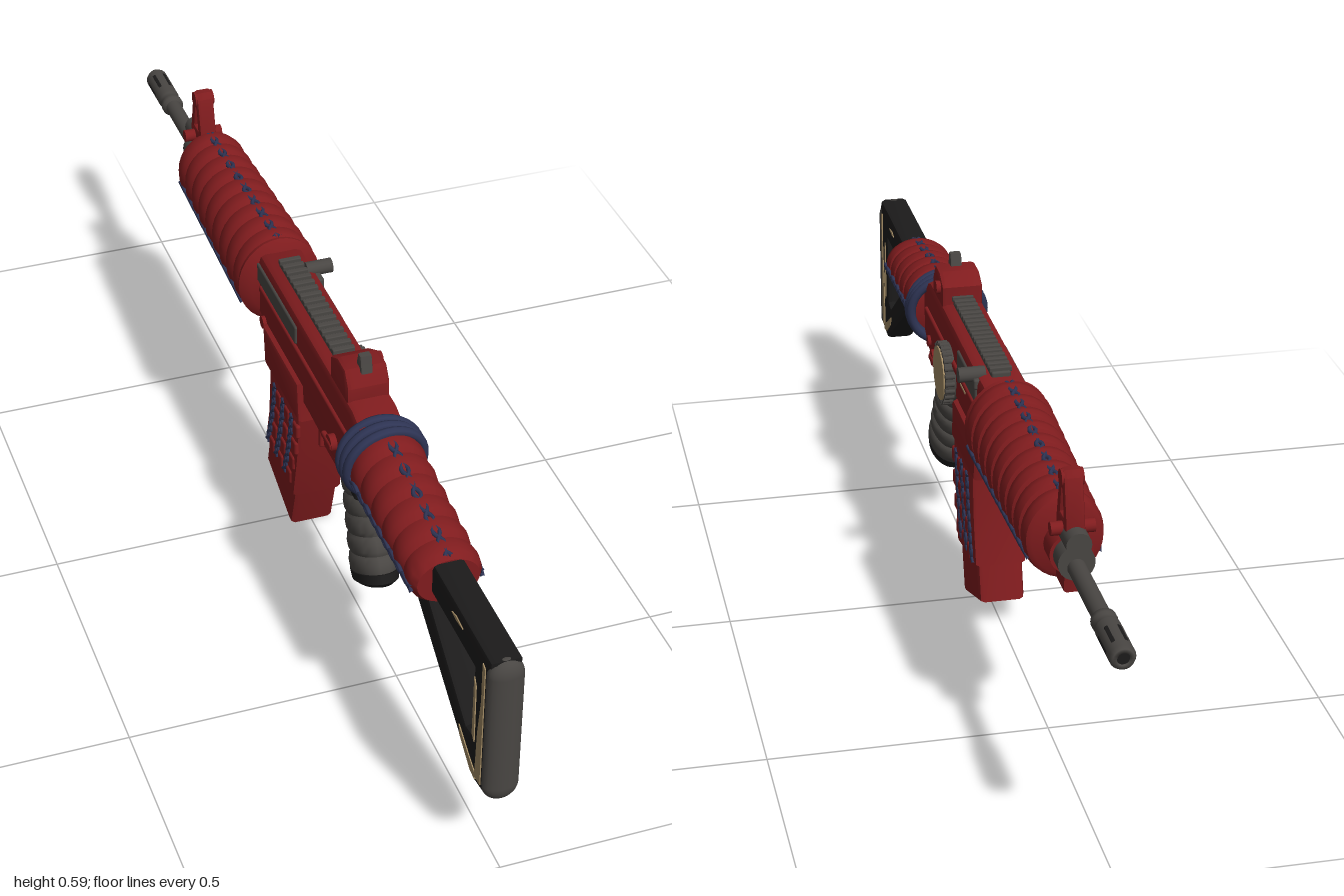
import * as THREE from 'three';
import { toCreasedNormals } from 'three/addons/utils/BufferGeometryUtils.js';
import { RoundedBoxGeometry } from 'three/addons/geometries/RoundedBoxGeometry.js';

const paint = (name, color) => Object.assign(new THREE.MeshStandardMaterial({ color }), { name });

export function createModel() {
  const model = new THREE.Group();
  const red = paint('red', 0x801c1e), blue = paint('navy cord', 0x2e3454), grey = paint('gunmetal', 0x494643);
  const black = paint('black', 0x1c1b1b), tan = paint('tan', 0xa08963);

  const add = (name, geo, mat, x = 0, y = 0, z = 0, parent = model) => {
    const m = new THREE.Mesh(geo, mat);
    m.name = name;
    m.position.set(x, y, z);
    parent.add(m);
    return m;
  };
  const box = (name, mat, w, h, d, x, y, z, r = 0.004) =>
    add(name, new RoundedBoxGeometry(w, h, d, 2, r), mat, x, y, z);
  // cylinder along z, or along x
  const rodZ = (name, mat, r, z0, z1, y) =>
    add(name, new THREE.CylinderGeometry(r, r, Math.abs(z1 - z0), 20).rotateX(Math.PI / 2), mat, 0, y, (z0 + z1) / 2);
  const rodX = (name, mat, r, len, x, y, z, seg = 16) =>
    add(name, new THREE.CylinderGeometry(r, r, len, seg).rotateZ(Math.PI / 2), mat, x, y, z);

  // side outline given as [z, y] points, extruded across x
  const vec = (pts) => pts.map(([z, y]) => new THREE.Vector2(z, y));
  const plate = (name, mat, pts, width, bevel = 0.006, holes = [], x = 0) => {
    const shape = new THREE.Shape(vec(pts));
    holes.forEach((h) => shape.holes.push(new THREE.Path(vec(h))));
    const depth = width - 2 * bevel;
    const g = new THREE.ExtrudeGeometry(shape, {
      depth, bevelEnabled: bevel > 0, bevelSize: bevel, bevelThickness: bevel, bevelOffset: -bevel, bevelSegments: 2,
    }).translate(0, 0, -depth / 2).rotateY(-Math.PI / 2);
    return add(name, toCreasedNormals(g, 0.6), mat, x);
  };

  // closed loft through elliptical sections { z, y, rx, ry }, z rising
  const loft = (sections, seg = 32) => {
    const pos = [], idx = [], n = sections.length;
    for (const s of sections)
      for (let j = 0; j < seg; j++) {
        const a = (j / seg) * Math.PI * 2;
        pos.push(Math.cos(a) * s.rx, s.y + Math.sin(a) * s.ry, s.z);
      }
    for (let i = 0; i < n - 1; i++)
      for (let j = 0; j < seg; j++) {
        const a = i * seg + j, b = i * seg + ((j + 1) % seg);
        idx.push(a, b, b + seg, a, b + seg, a + seg);
      }
    [0, n - 1].forEach((i, end) => {
      const c = pos.length / 3;
      pos.push(0, sections[i].y, sections[i].z);
      for (let j = 0; j < seg; j++) {
        const a = i * seg + j, b = i * seg + ((j + 1) % seg);
        end ? idx.push(c, a, b) : idx.push(c, b, a);
      }
    });
    const g = new THREE.BufferGeometry();
    g.setAttribute('position', new THREE.Float32BufferAttribute(pos, 3));
    g.setIndex(idx);
    g.computeVertexNormals();
    return toCreasedNormals(g, 0.7);
  };

  // overlapping cloth bands between two end sections
  const mix = (a, b, t) => ({
    z: a.z + (b.z - a.z) * t, y: a.y + (b.y - a.y) * t, rx: a.rx + (b.rx - a.rx) * t, ry: a.ry + (b.ry - a.ry) * t,
  });
  const bands = (a, b, n, dip) => {
    const out = [];
    for (let i = 0; i < n; i++)
      for (const [u, k] of [[0, 1], [0.1, 0.3], [0.4, 0], [0.75, 0.2], [0.97, 0.85]]) {
        const s = mix(a, b, (i + u) / n);
        out.push({ ...s, rx: s.rx - dip * k, ry: s.ry - dip * k });
      }
    return loft(out);
  };
  const cord = (name, pts, r = 0.004) =>
    add(name, new THREE.TubeGeometry(new THREE.CatmullRomCurve3(pts), pts.length * 4, r, 6), blue);
  // crossed lacing that follows a sleeve at one angle, sunk slightly into the cloth
  const lace = (name, a, b, angle, spread, n, sink = 0.001) => {
    for (const side of [1, -1]) {
      const pts = [];
      for (let i = 0; i <= n; i++) {
        const s = mix(a, b, 0.02 + 0.96 * (i / n)), w = angle + spread * side * (i % 2 ? 1 : -1);
        pts.push(new THREE.Vector3(Math.cos(w) * (s.rx - sink), s.y + Math.sin(w) * (s.ry - sink), s.z));
      }
      cord(name, pts);
    }
  };

  // skeleton stock with rounded butt pad and worn edges
  plate('stockFrame', black, [[0.985, 0.16], [0.985, 0.45], [0.69, 0.45], [0.62, 0.36], [0.66, 0.325], [0.93, 0.15]], 0.058, 0.01,
    [[[0.915, 0.385], [0.73, 0.385], [0.71, 0.36], [0.89, 0.235], [0.915, 0.24]]]);
  add('buttPad', new THREE.CapsuleGeometry(0.032, 0.238, 8, 20).scale(1, 1, 0.6), grey, 0, 0.3, 0.98);
  for (const s of [1, -1]) {
    const wear = (pts) => plate('wornEdge', tan, pts, 0.003, 0, [], s * 0.0295);
    wear([[0.968, 0.172], [0.968, 0.425], [0.957, 0.43], [0.958, 0.35], [0.948, 0.27], [0.944, 0.172]]);
    wear([[0.936, 0.24], [0.934, 0.36], [0.926, 0.375], [0.926, 0.25]]);
    wear([[0.946, 0.165], [0.946, 0.178], [0.915, 0.194], [0.87, 0.222], [0.875, 0.203], [0.925, 0.168]]);
    wear([[0.87, 0.428], [0.84, 0.432], [0.82, 0.427], [0.84, 0.424]]);
  }
  // wrapped stock sleeve
  const s0 = { z: 0.42, y: 0.43, rx: 0.07, ry: 0.073 }, s1 = { z: 0.73, y: 0.41, rx: 0.066, ry: 0.053 };
  add('stockWrap', bands(s0, s1, 6, 0.012), red);
  [-0.15, Math.PI + 0.15].forEach((a) => lace('stockLace', s0, s1, a, 0.1, 10));
  lace('stockTopLace', s0, s1, Math.PI / 2, 0.1, 10, 0.005);
  add('underWrap', bands({ z: 0.46, y: 0.37, rx: 0.04, ry: 0.024 }, { z: 0.66, y: 0.365, rx: 0.038, ry: 0.026 }, 4, 0.005), grey);
  for (let i = 0; i < 3; i++) {
    const ring = add('cordBand', new THREE.TorusGeometry(0.072, 0.0095, 8, 36), blue, 0, 0.433, 0.395 + i * 0.014);
    ring.scale.y = 0.95;
    ring.rotation.set(0.09 * (i - 1), 0.06 * (i - 1), 0);
  }

  // receiver
  plate('upperReceiver', red, [[0.42, 0.37], [0.42, 0.49], [0.36, 0.51], [-0.15, 0.51], [-0.17, 0.5], [-0.17, 0.37]], 0.086, 0.014);
  plate('lowerReceiver', red, [[0.42, 0.36], [0.42, 0.42], [-0.15, 0.42], [-0.15, 0.365], [-0.09, 0.335], [0.12, 0.335], [0.25, 0.33]], 0.078);
  plate('magazineWell', red, [[0.1, 0.3], [0.09, 0.38], [-0.11, 0.38], [-0.1, 0.3]], 0.104, 0.008);
  box('sideRib', red, 0.098, 0.014, 0.52, 0, 0.445, 0.12);
  box('wornRib', tan, 0.004, 0.005, 0.045, 0.0485, 0.443, 0, 0.001);
  plate('triggerGuard', red, [[0.25, 0.34], [0.245, 0.267], [0.14, 0.267], [0.115, 0.34]], 0.03, 0.003,
    [[[0.235, 0.336], [0.233, 0.279], [0.147, 0.279], [0.127, 0.336]]]);
  plate('trigger', grey, [[0.2, 0.34], [0.215, 0.3], [0.195, 0.283], [0.205, 0.3], [0.18, 0.34]], 0.016, 0);
  box('magazineCatch', red, 0.03, 0.06, 0.012, 0, 0.275, 0.112);
  for (const s of [1, -1]) {
    rodX('selectorHub', red, 0.016, 0.02, s * 0.045, 0.385, 0.28);
    box('selectorLever', red, 0.01, 0.012, 0.05, s * 0.053, 0.383, 0.27);
    rodX('receiverPin', red, 0.012, 0.016, s * 0.042, 0.38, -0.12);
    rodX('rearPin', red, 0.011, 0.016, s * 0.041, 0.39, 0.35);
  }
  // bolt, port and handle
  box('ejectionPort', grey, 0.012, 0.036, 0.165, 0.0415, 0.474, -0.015);
  box('boltCover', grey, 0.012, 0.038, 0.23, -0.0415, 0.474, -0.045);
  rodX('boltHandle', grey, 0.014, 0.05, 0.05, 0.508, -0.082);
  box('boltCarrier', grey, 0.05, 0.02, 0.06, 0.025, 0.495, -0.075);
  // round medallion with a notched rim
  rodX('medallionRim', grey, 0.058, 0.022, 0.052, 0.41, 0.15, 40);
  rodX('medallionFace', tan, 0.052, 0.004, 0.064, 0.41, 0.15, 40);
  for (let i = 0; i < 24; i++) {
    const a = (i / 24) * Math.PI * 2;
    rodX('medallionBead', grey, 0.005, 0.018, 0.055, 0.41 + Math.sin(a) * 0.057, 0.15 + Math.cos(a) * 0.057, 8);
  }

  // top rail and rear sight
  box('railBase', grey, 0.036, 0.016, 0.36, 0, 0.512, 0.07);
  for (let i = 0; i < 18; i++) box('railTooth', grey, 0.042, 0.01, 0.011, 0, 0.522, -0.1 + i * 0.02, 0.002);
  plate('rearSightBase', red, [[0.335, 0.5], [0.335, 0.535], [0.315, 0.565], [0.275, 0.565], [0.24, 0.545], [0.24, 0.5]], 0.08, 0.008);
  rodX('sightDrum', red, 0.013, 0.012, 0.042, 0.538, 0.265);
  plate('rearSightPost', grey, [[0.325, 0.555], [0.318, 0.588], [0.305, 0.588], [0.295, 0.555]], 0.022, 0.003);

  // wrapped pistol grip
  box('gripNeck', black, 0.064, 0.05, 0.11, 0, 0.328, 0.305, 0.008);
  const grip = new THREE.Group();
  grip.name = 'grip';
  grip.position.set(0, 0.325, 0.302);
  grip.rotation.x = Math.PI / 2 - 0.43;
  model.add(grip);
  add('gripWrap', bands({ z: 0, y: 0, rx: 0.037, ry: 0.052 }, { z: 0.185, y: 0, rx: 0.043, ry: 0.064 }, 5, 0.006), grey, 0, 0, 0, grip);
  add('gripCap', loft([{ z: 0.18, y: 0, rx: 0.042, ry: 0.065 }, { z: 0.198, y: 0, rx: 0.04, ry: 0.063 },
    { z: 0.206, y: 0, rx: 0.03, ry: 0.052 }]), black, 0, 0, 0, grip);

  // curved magazine with laced cloth
  plate('magazineBase', red, [[0.085, 0.32], [0.075, 0.2], [0.052, 0.09], [0.026, 0.002], [-0.122, 0.055], [-0.105, 0.12],
    [-0.082, 0.2], [-0.07, 0.32]], 0.086, 0.01);
  plate('magazineWrap', red, [[0.092, 0.31], [0.082, 0.2], [0.058, 0.095], [-0.108, 0.125], [-0.088, 0.2], [-0.077, 0.31]], 0.098, 0.008);
  const magZ = (y) => 0.012 - 0.9 * (0.31 - y) ** 2 - 0.1 * (0.31 - y);
  for (const s of [1, -1])
    for (const col of [-0.05, 0, 0.05]) {
      for (const flip of [1, -1]) {
        const pts = [];
        for (let i = 0; i <= 8; i++) {
          const y = 0.29 - i * 0.0205;
          pts.push(new THREE.Vector3(s * 0.05, y, magZ(y) + col + flip * (i % 2 ? 0.007 : -0.007)));
        }
        cord('magazineLace', pts, 0.0035);
      }
      for (let i = 0; i < 4; i++) {
        const y = 0.27 - i * 0.045;
        box('magazineFold', red, 0.01, 0.03, 0.026, s * 0.048, y, magZ(y) + col + 0.024, 0.005);
      }
    }

  // wrapped handguard, laced along both sides and the top
  const h0 = { z: -0.61, y: 0.435, rx: 0.07, ry: 0.078 }, h1 = { z: -0.165, y: 0.44, rx: 0.082, ry: 0.094 };
  add('handguardWrap', bands(h0, h1, 9, 0.012), red);
  [-0.42, Math.PI + 0.42].forEach((a) => lace('handguardLace', h0, h1, a, 0.085, 16));
  lace('handguardTopLace', h0, h1, Math.PI / 2, 0.08, 16, 0.005);
  add('handguardCollar', loft([{ z: -0.19, y: 0.44, rx: 0.074, ry: 0.084 }, { z: -0.165, y: 0.44, rx: 0.08, ry: 0.09 },
    { z: -0.15, y: 0.44, rx: 0.06, ry: 0.07 }]), red);

  // front sight and gas block
  plate('frontSight', red, [[-0.61, 0.365], [-0.61, 0.49], [-0.628, 0.572], [-0.638, 0.583], [-0.652, 0.583], [-0.662, 0.572],
    [-0.682, 0.485], [-0.672, 0.44], [-0.668, 0.365]], 0.034, 0.006,
    [[[-0.632, 0.5], [-0.64, 0.545], [-0.65, 0.545], [-0.66, 0.5]]]);
  rodZ('sightCollar', red, 0.038, -0.6, -0.655, 0.43);
  rodX('sightHood', red, 0.015, 0.038, 0, 0.567, -0.645);
  rodX('sightScrew', red, 0.012, 0.076, 0, 0.48, -0.655);
  rodZ('gasPlug', grey, 0.022, -0.65, -0.705, 0.47);
  rodZ('gasBlock', grey, 0.032, -0.65, -0.69, 0.43);
  // barrel and flash hider
  rodZ('barrel', grey, 0.016, -0.6, -0.9, 0.422);
  add('flashHider', new THREE.LatheGeometry(vec([[0.011, -0.985], [0.011, -0.998], [0.018, -0.998], [0.022, -0.99], [0.022, -0.9],
    [0.019, -0.895], [0.019, -0.885], [0.022, -0.88], [0.022, -0.87], [0.015, -0.865]]), 20).rotateX(Math.PI / 2), grey, 0, 0.422, 0);
  rodZ('bore', black, 0.011, -0.97, -0.994, 0.422);
  for (let i = 0; i < 6; i++) {
    const a = (i / 6) * Math.PI * 2;
    const slot = box('hiderSlot', black, 0.004, 0.007, 0.05, Math.cos(a) * 0.0208, 0.422 + Math.sin(a) * 0.0208, -0.948, 0.0015);
    slot.rotation.z = a;
  }
  return model;
}
